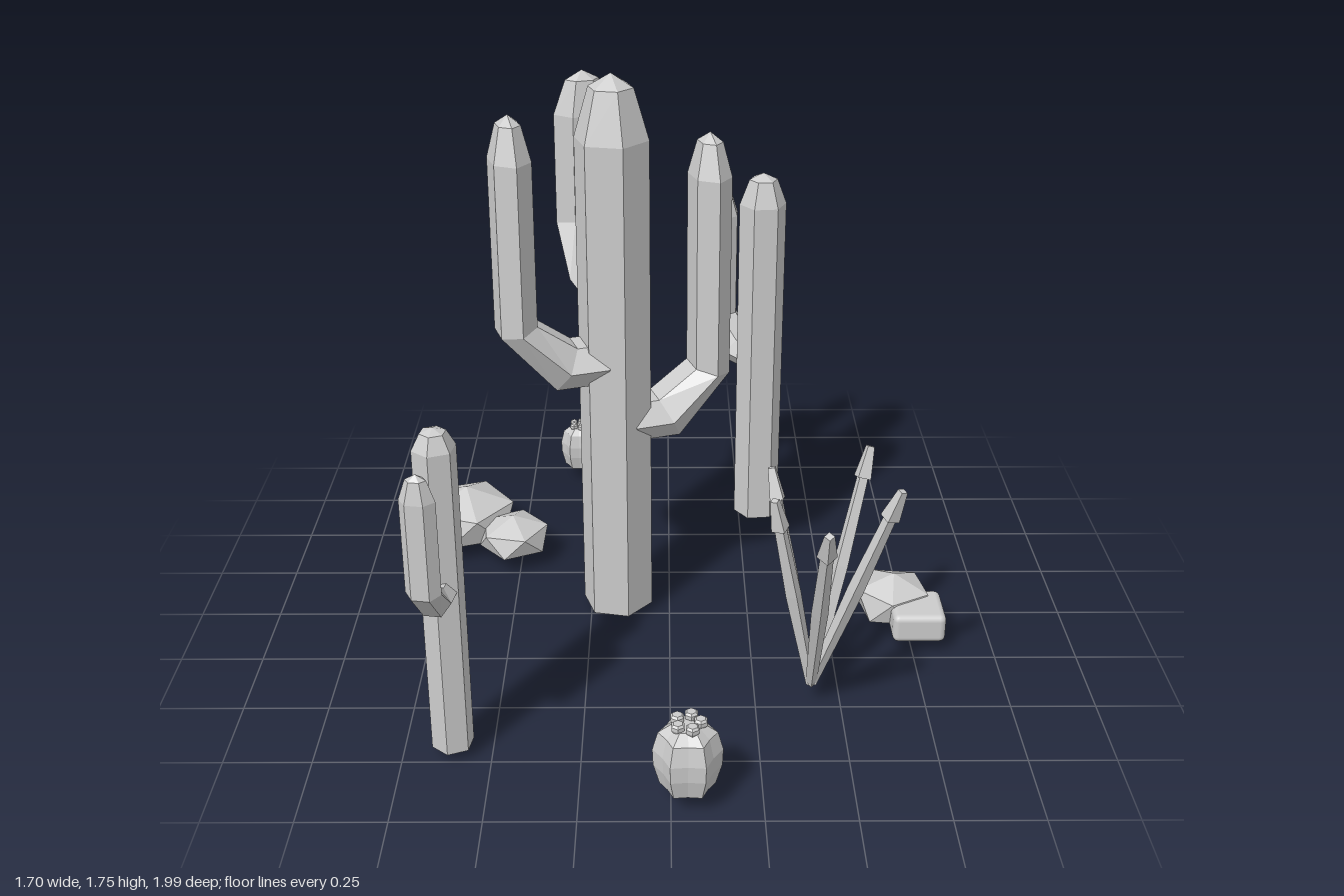
import * as THREE from 'three';
import { RoundedBoxGeometry } from 'three/addons/geometries/RoundedBoxGeometry.js';

const V = (x, y, z) => new THREE.Vector3(x, y, z);
const rad = THREE.MathUtils.degToRad;

// Faceted skin over closed rings, finished by a fan to a point at each end
function loft(rings, start, end) {
  const out = [];
  const tri = (...pts) => pts.forEach((p) => out.push(p.x, p.y, p.z));
  const n = rings[0].length;
  for (let i = 0; i < n; i++) {
    const j = (i + 1) % n;
    for (let k = 0; k < rings.length - 1; k++) {
      const a = rings[k], b = rings[k + 1];
      tri(a[i], a[j], b[j]);
      tri(a[i], b[j], b[i]);
    }
    const last = rings[rings.length - 1];
    tri(start, rings[0][j], rings[0][i]);
    tri(end, last[i], last[j]);
  }
  const g = new THREE.BufferGeometry();
  g.setAttribute('position', new THREE.Float32BufferAttribute(out, 3));
  g.computeVertexNormals();
  return g;
}

// Horizontal ring; valley < 1 pulls in every other corner
function ring(n, r, y, turn = 0, valley = 1) {
  return Array.from({ length: n }, (_, i) => {
    const a = rad(turn) + (i / n) * Math.PI * 2;
    const q = i % 2 ? r * valley : r;
    return V(Math.sin(a) * q, y, Math.cos(a) * q);
  });
}

// Six-sided arm: out of the trunk along +z, then bent upwards
function armGeometry(s, elbowY, tipY, cap) {
  const bendY = elbowY + 0.137 * s;
  const section = (d, y, uz, uy, size = 1) =>
    Array.from({ length: 6 }, (_, i) => {
      const a = rad(30 + i * 60);
      const k = (Math.cos(a) / 0.866) * s * size;
      return V(Math.sin(a) * 0.09 * s * size, y + k * uy, d * s + k * uz);
    });
  return loft([
    section(0.04, elbowY, 0, -0.063),
    section(0.16, elbowY, 0.033, -0.063),
    section(0.3, bendY, 0.054, -0.012),
    section(0.3, tipY - cap, 0.054, 0),
    section(0.3, tipY - cap * 0.21, 0.054, 0, 0.58),
  ], V(0, elbowY, 0.04 * s), V(0, tipY, 0.3 * s));
}

export function createModel() {
  const model = new THREE.Group();
  model.name = 'desertPlants';
  const grey = new THREE.MeshStandardMaterial({ color: 0xcccccc });
  grey.name = 'grey';

  const add = (parent, name, geometry, x = 0, y = 0, z = 0) => {
    const mesh = new THREE.Mesh(geometry, grey);
    mesh.name = name;
    mesh.position.set(x, y, z);
    parent.add(mesh);
    return mesh;
  };
  const group = (name, x, y, z, turn = 0) => {
    const g = new THREE.Group();
    g.name = name;
    g.position.set(x, y, z);
    g.rotation.y = rad(turn);
    model.add(g);
    return g;
  };

  // Column cacti: arms are [turn, elbow height, tip height]
  function cactus(name, x, z, turn, s, tip, cap, armCap, arms) {
    const g = group(name, x, 0, z, turn);
    const r = 0.111 * s, base = 0.042;
    add(g, 'trunk', loft(
      [ring(6, r, base), ring(6, r, tip - cap), ring(6, r * 0.6, tip - cap * 0.21)],
      V(0, base, 0), V(0, tip, 0)));
    arms.forEach(([t, elbow, top]) => {
      add(g, 'arm', armGeometry(s, elbow, top, armCap)).rotation.y = rad(t);
    });
  }
  cactus('largeCactus', -0.165, -0.045, 18.5, 1, 1.767, 0.19, 0.13,
    [[-90, 0.897, 1.674], [90, 0.69, 1.57], [180, 1.1, 1.706]]);
  cactus('mediumCactus', 0.31, -0.635, 36, 0.7, 1.29, 0.105, 0.09,
    [[180, 0.63, 1.177]]);
  cactus('smallCactus', -0.611, 0.697, -9, 0.54, 1.03, 0.057, 0.075,
    [[0, 0.56, 0.98]]);

  // Ribbed barrel cacti with a crown of buds
  function barrel(x, z, s, h) {
    const g = group('barrelCactus', x, 0.07, z);
    const profile = [[0.076, 0], [0.093, 0.06], [0.095, 0.11], [0.08, 0.165], [0.045, 0.19]];
    add(g, 'ribbedBody', loft(
      profile.map(([r, y]) => ring(12, r * s, y * h, 90, 0.82)),
      V(0, 0, 0), V(0, 0.19 * h, 0)));
    for (let i = 0; i < 5; i++) {
      const a = rad(i * 72 + 20), d = 0.034 * s, b = 0.02 * s;
      add(g, 'bud', loft(
        [ring(6, b * 0.7, -0.014 * h), ring(6, b, -0.004 * h), ring(6, b, 0.006 * h), ring(6, b * 0.7, 0.012 * h)],
        V(0, -0.014 * h, 0), V(0, 0.012 * h, 0)),
      Math.sin(a) * d, 0.197 * h, Math.cos(a) * d);
    }
  }
  barrel(0.045, 0.91, 1, 1);
  barrel(-0.328, -0.935, 0.72, 0.81);

  // Spiky plant: thin four-sided stalks, each with a wider pointed head
  const spiky = group('spikyPlant', 0.414, 0.075, 0.465);
  [[-0.121, 0.625, -0.17], [0.169, 0.66, -0.235], [0.22, 0.68, 0.075],
    [-0.004, 0.685, 0.325], [-0.126, 0.635, 0.045]].forEach(([x, y, z]) => {
    const dir = V(x, y, z), len = dir.length(), neck = len - 0.095;
    const stalk = loft([ring(4, 0.016, 0), ring(4, 0.024, len * 0.5), ring(4, 0.018, neck)],
      V(0, 0, 0), V(0, neck, 0));
    const head = loft([ring(4, 0.028, neck), ring(4, 0.014, len)],
      V(0, neck, 0), V(0, len, 0));
    const leaf = new THREE.Group();
    leaf.name = 'leaf';
    // Lean the leaf outwards in its own vertical plane
    leaf.rotation.order = 'YXZ';
    leaf.rotation.y = Math.atan2(x, z);
    leaf.rotation.x = Math.atan2(Math.hypot(x, z), y);
    add(leaf, 'stalk', stalk);
    add(leaf, 'leafHead', head);
    spiky.add(leaf);
  });

  // Flattened twenty-sided rocks
  const rock = (x, y, z, r, h, turn) => add(model, 'rock', loft(
    [ring(5, r, -h * 0.447, turn), ring(5, r, h * 0.447, turn - 36)],
    V(0, -h, 0), V(0, h, 0)), x, y, z);
  rock(-0.692, 0.122, -0.457, 0.158, 0.108, -90);
  rock(-0.525, 0.107, -0.343, 0.115, 0.074, 60);
  rock(0.705, 0.11, 0.056, 0.115, 0.087, 100);

  // Rounded stone block
  add(model, 'stoneBlock', new RoundedBoxGeometry(0.163, 0.094, 0.165, 2, 0.02), 0.768, 0.098, 0.147);

  return model;
}
